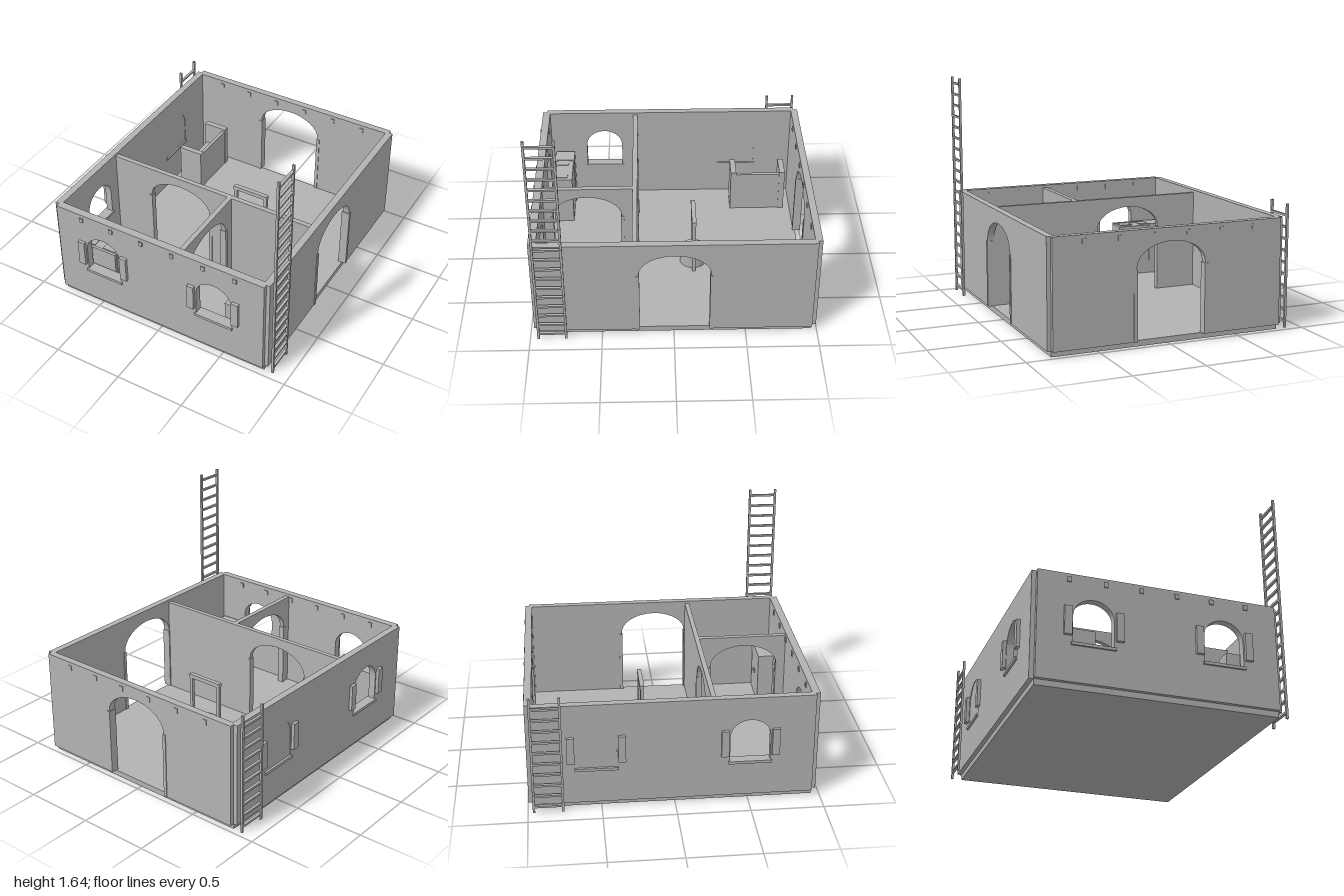
import * as THREE from 'three';

const FLOOR = 0.04;
const stone = new THREE.MeshStandardMaterial({ color: 0xb2b2b2 });
stone.name = 'grey stone';

function add(parent, name, geometry, x = 0, y = 0, z = 0) {
  const mesh = new THREE.Mesh(geometry, stone);
  mesh.name = name;
  mesh.position.set(x, y, z);
  parent.add(mesh);
  return mesh;
}

// Box given by its minimum and maximum on each axis
function box(parent, name, x0, x1, y0, y1, z0, z1) {
  return add(parent, name, new THREE.BoxGeometry(x1 - x0, y1 - y0, z1 - z0),
    (x0 + x1) / 2, (y0 + y1) / 2, (z0 + z1) / 2);
}

// Closed arched outline, from lower left over the top to lower right
function archPoints(c, half, base, spring, top, n = 16) {
  const pts = [new THREE.Vector2(c - half, base)];
  for (let i = 0; i <= n; i++) {
    const a = Math.PI * (1 - i / n);
    pts.push(new THREE.Vector2(c + half * Math.cos(a), spring + (top - spring) * Math.sin(a)));
  }
  pts.push(new THREE.Vector2(c + half, base));
  return pts;
}
const windowPoints = (c, half = 0.137) => archPoints(c, half, 0.3, 0.49, 0.615);

function slabOf(shape, depth) {
  return new THREE.ExtrudeGeometry(shape, { depth, bevelEnabled: false }).translate(0, 0, -depth / 2);
}

// Wall along local x with its outside towards local +z
function wall(parent, name, { from, to, top = 0.78, thick = 0.05, doors = [], windows = [], blind = [] }) {
  const group = new THREE.Group();
  group.name = name;
  parent.add(group);
  const outline = [new THREE.Vector2(from, FLOOR)];
  doors.forEach(c => outline.push(...archPoints(c, 0.247, FLOOR, 0.53, 0.69)));
  outline.push(new THREE.Vector2(to, FLOOR), new THREE.Vector2(to, top), new THREE.Vector2(from, top));
  const shape = new THREE.Shape(outline);
  windows.forEach(c => shape.holes.push(new THREE.Path(windowPoints(c))));
  add(group, 'wallPanel', slabOf(shape, thick));

  // Slim jambs beside each doorway
  const h = thick / 2;
  for (const c of doors) for (const s of [-1, 1]) {
    const x = c + s * 0.254;
    box(group, 'doorJamb', x - 0.012, x + 0.012, FLOOR, 0.52, -h - 0.005, h + 0.005);
  }
  // Sill and open shutters at each window
  for (const c of windows) {
    box(group, 'windowSill', c - 0.148, c + 0.148, 0.286, 0.306, -h - 0.008, h + 0.013);
    for (const s of [-1, 1]) {
      const x = c + s * 0.172;
      box(group, 'shutter', x - 0.026, x + 0.026, 0.35, 0.545, h, h + 0.023);
    }
  }
  // Closed-up windows
  blind.forEach(c => add(group, 'windowInfill', slabOf(new THREE.Shape(windowPoints(c, 0.138)), thick - 0.008)));
  return group;
}

// Ladder standing along z with evenly spaced rungs
function ladder(parent, name, x, z0, z1, height, rungs) {
  const group = new THREE.Group();
  group.name = name;
  parent.add(group);
  for (const z of [z0, z1 - 0.016]) box(group, 'ladderRail', x - 0.008, x + 0.008, 0.003, height, z, z + 0.016);
  for (let i = 0; i < rungs; i++) {
    const y = 0.048 + i * 0.0817;
    box(group, 'ladderRung', x - 0.01, x + 0.01, y - 0.007, y + 0.007, z0 + 0.008, z1 - 0.008);
  }
}

export function createModel() {
  const model = new THREE.Group();
  model.name = 'courtyardHouse';

  box(model, 'floorSlab', -0.82, 0.82, 0, FLOOR, -0.96, 0.95);

  // Outer walls
  wall(model, 'frontWall', { from: -0.82, to: 0.82, thick: 0.055, windows: [-0.447, 0.44] }).position.z = 0.948;
  wall(model, 'backWall', { from: -0.82, to: 0.82, thick: 0.05, doors: [-0.005] }).position.z = -0.97;
  const right = wall(model, 'leftSideWall', { from: -0.965, to: 0.945, doors: [-0.005] });
  right.position.x = 0.822;
  right.rotation.y = -Math.PI / 2;
  const left = wall(model, 'rightSideWall', { from: -0.965, to: 0.945, windows: [-0.53, 0.508], blind: [-0.53] });
  left.position.x = -0.825;
  left.rotation.y = -Math.PI / 2;

  // Inner walls
  wall(model, 'longPartition', { from: -0.81, to: 0.81, top: 0.76, thick: 0.034, doors: [-0.25] }).position.z = 0.263;
  const short = wall(model, 'shortPartition', { from: 0.27, to: 0.93, top: 0.76, thick: 0.036, doors: [0.61] });
  short.position.x = 0.158;
  short.rotation.y = -Math.PI / 2;

  // Beam ends passing through the front and back walls
  for (let i = 0; i < 6; i++) {
    const x = -0.612 + i * 0.2434;
    box(model, 'frontBeam', x - 0.014, x + 0.014, 0.72, 0.755, 0.913, 0.984);
    box(model, 'backBeam', x - 0.014, x + 0.014, 0.72, 0.755, -1, -0.937);
  }

  ladder(model, 'tallLadder', 0.882, 0.742, 0.95, 1.645, 20);
  ladder(model, 'shortLadder', -0.888, -0.968, -0.755, 0.865, 10);

  // Well with its frame
  const well = new THREE.Group();
  well.name = 'well';
  well.position.set(0.09, 0, -0.16);
  model.add(well);
  const ring = [[0.07, FLOOR], [0.098, FLOOR], [0.098, 0.155], [0.07, 0.155], [0.07, FLOOR]];
  // Each straight run is lathed alone so the rim stays sharp
  for (let i = 0; i < 4; i++) {
    const run = [ring[i], ring[i + 1]].map(p => new THREE.Vector2(...p));
    add(well, 'wellRing', new THREE.LatheGeometry(run, 32));
  }
  for (const x of [-0.125, 0.125]) box(well, 'wellPost', x - 0.012, x + 0.012, FLOOR, 0.465, -0.012, 0.012);
  box(well, 'wellCrossbar', -0.14, 0.14, 0.46, 0.49, -0.016, 0.016);

  // Settle beside the back corner
  for (const z of [-0.895, -0.517]) box(model, 'settleEnd', -0.725, -0.54, FLOOR, 0.38, z, z + 0.042);
  box(model, 'settleBack', -0.57, -0.545, FLOOR, 0.36, -0.86, -0.51);
  box(model, 'settleSeat', -0.71, -0.56, 0.17, 0.2, -0.86, -0.51);

  // Stove with flue block, backboard and two hobs
  box(model, 'stoveBody', -0.74, -0.405, FLOOR, 0.43, 0.75, 0.88);
  box(model, 'stoveFlue', -0.78, -0.66, FLOOR, 0.44, 0.743, 0.887);
  box(model, 'stoveBackboard', -0.73, -0.41, FLOOR, 0.44, 0.877, 0.897);
  box(model, 'stoveHob', -0.66, -0.6, 0.43, 0.437, 0.785, 0.868);
  box(model, 'stoveHob', -0.53, -0.432, 0.43, 0.437, 0.785, 0.868);

  // Cupboard with two knobs
  box(model, 'cupboard', 0.487, 0.773, FLOOR, 0.425, 0.788, 0.906);
  for (const x of [0.608, 0.646]) box(model, 'cupboardKnob', x - 0.007, x + 0.007, 0.23, 0.25, 0.776, 0.79);

  return model;
}
